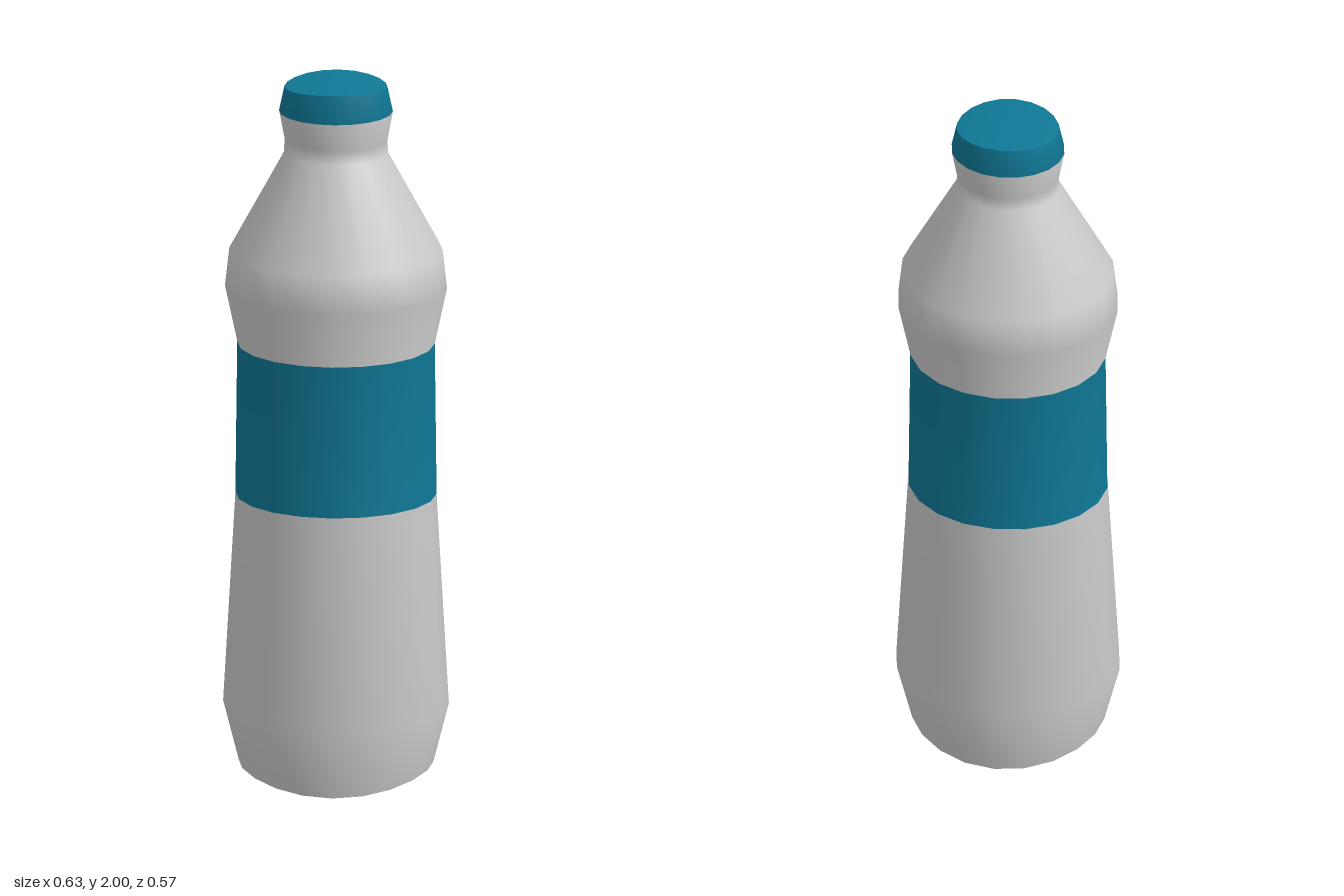
import * as THREE from 'three';

const SIDES = 20;
// Rings from base to top: [half width (x), half depth (z), height]
const RINGS = [
  [0.27, 0.235, 0], [0.313, 0.283, 0.21], [0.279, 0.251, 0.815], [0.274, 0.247, 1.25],
  [0.308, 0.277, 1.41], [0.296, 0.266, 1.52], [0.144, 0.131, 1.8], [0.143, 0.13, 1.84],
  [0.158, 0.143, 1.92], [0.143, 0.129, 2],
];
const LAST = RINGS.length - 1;

// The base rises and the lid falls slightly towards the left and right
function ringHeight(ring, x) {
  const [w, , y] = RINGS[ring];
  const bend = ring === 0 ? 0.04 : ring === LAST ? -0.01 : 0;
  return y + bend * (x / w) ** 2;
}

// Oval shell over the whole profile, smooth all the way up
function makeShell() {
  const shell = new THREE.LatheGeometry(RINGS.map(([w, , y]) => new THREE.Vector2(w, y)), SIDES);
  const pos = shell.attributes.position;
  const normal = shell.attributes.normal;
  for (let i = 0; i < pos.count; i++) {
    const ring = i % RINGS.length;
    const ratio = RINGS[ring][1] / RINGS[ring][0];
    const n = new THREE.Vector3().fromBufferAttribute(normal, i);
    n.z /= ratio;
    n.normalize();
    normal.setXYZ(i, n.x, n.y, n.z);
    pos.setXYZ(i, pos.getX(i), ringHeight(ring, pos.getX(i)), pos.getZ(i) * ratio);
  }
  return shell;
}

// Part of the shell between two rings, sharing the shell's normals
function band(shell, from, to) {
  const geometry = shell.clone();
  const index = [];
  const all = shell.index.array;
  for (let i = 0; i < all.length; i += 3) {
    const face = [all[i], all[i + 1], all[i + 2]];
    if (face.every((v) => v % RINGS.length >= from && v % RINGS.length <= to)) index.push(...face);
  }
  geometry.setIndex(index);
  return geometry;
}

// Gently curved end face, closed by strips from front to back
function endFace(ring, up) {
  const [w, d] = RINGS[ring];
  const points = [];
  const index = [];
  const half = SIDES / 2;
  for (let k = 0; k <= half; k++) {
    const a = (k / half) * Math.PI;
    const x = w * Math.cos(a), z = d * Math.sin(a), y = ringHeight(ring, x);
    points.push(x, y, z, x, y, -z);
    if (k === half) break;
    const i = 2 * k;
    const quad = [];
    if (k > 0) quad.push([i, i + 1, i + 2]);
    if (k < half - 1) quad.push([i + 1, i + 3, i + 2]);
    else quad[0] = [i, i + 1, i + 2];
    if (k === 0) quad[0] = [i + 1, i + 3, i + 2];
    for (const [p, q, r] of quad) index.push(...(up ? [p, q, r] : [p, r, q]));
  }
  const geometry = new THREE.BufferGeometry();
  geometry.setAttribute('position', new THREE.Float32BufferAttribute(points, 3));
  geometry.setIndex(index);
  geometry.computeVertexNormals();
  return geometry;
}

export function createModel() {
  const group = new THREE.Group();
  group.name = 'bottle';
  const grey = new THREE.MeshStandardMaterial({ color: 0xcccccc });
  const blue = new THREE.MeshStandardMaterial({ color: 0x0f7896 });
  const shell = makeShell();
  const add = (name, geometry, material) => {
    const mesh = new THREE.Mesh(geometry, material);
    mesh.name = name;
    group.add(mesh);
  };

  add('base', endFace(0, false), grey);
  add('lowerBody', band(shell, 0, 2), grey);
  add('label', band(shell, 2, 3), blue);
  add('shoulderAndNeck', band(shell, 3, 8), grey);
  add('capSide', band(shell, 8, 9), blue);
  add('capTop', endFace(LAST, true), blue);
  return group;
}
